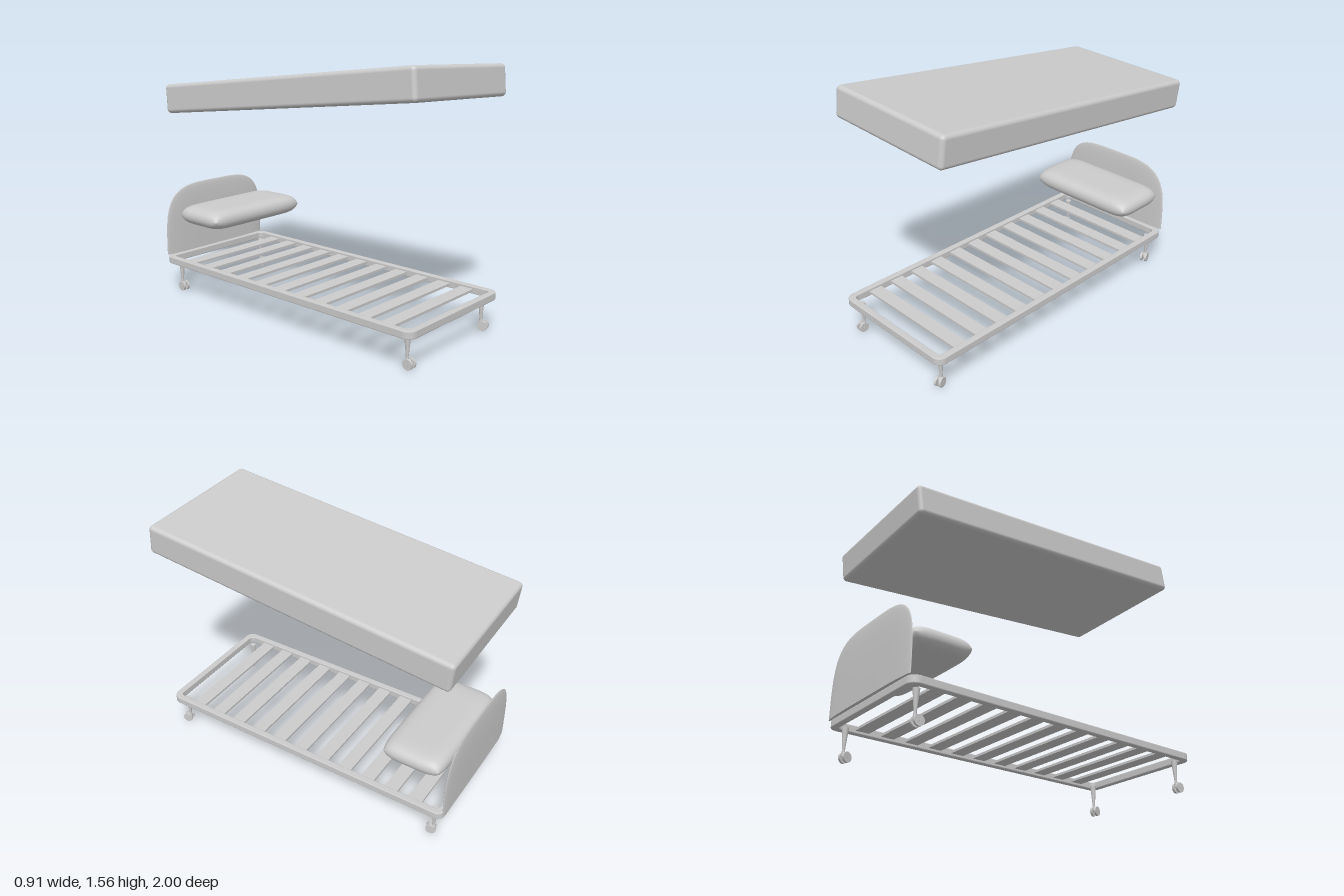
import * as THREE from 'three';
import { mergeGeometries, mergeVertices } from 'three/addons/utils/BufferGeometryUtils.js';
import { RoundedBoxGeometry } from 'three/addons/geometries/RoundedBoxGeometry.js';
import { ParametricGeometry } from 'three/addons/geometries/ParametricGeometry.js';

const grey = new THREE.MeshStandardMaterial({ color: 0xcccccc });
const greyDouble = new THREE.MeshStandardMaterial({ color: 0xcccccc, side: THREE.DoubleSide });
const BED_X = -0.03;

function add(parent, name, geometry, x = 0, y = 0, z = 0, material = grey) {
  const mesh = new THREE.Mesh(geometry, material);
  mesh.name = name;
  mesh.position.set(x, y, z);
  parent.add(mesh);
  return mesh;
}

// Rounded rectangle outline centred on the origin
function roundedRect(path, w, h, r) {
  const x = w / 2, y = h / 2;
  path.absarc(x - r, y - r, r, 0, Math.PI / 2);
  path.absarc(-x + r, y - r, r, Math.PI / 2, Math.PI);
  path.absarc(-x + r, -y + r, r, Math.PI, Math.PI * 1.5);
  path.absarc(x - r, -y + r, r, Math.PI * 1.5, Math.PI * 2);
  path.closePath();
  return path;
}

// Bed frame: bevelled ring with a rounded opening
function frameGeometry() {
  const b = 0.005;
  const shape = roundedRect(new THREE.Shape(), 0.86 - 2 * b, 1.985 - 2 * b, 0.05);
  shape.holes.push(roundedRect(new THREE.Path(), 0.78 + 2 * b, 1.905 + 2 * b, 0.035));
  const g = new THREE.ExtrudeGeometry(shape, {
    depth: 0.045 - 2 * b, bevelSize: b, bevelThickness: b, bevelSegments: 2, curveSegments: 10,
  });
  return g.rotateX(-Math.PI / 2).translate(0, b, 0);
}

// Headboard: superellipse arch with a lens-like thickness
function headboard(parent) {
  const W = 0.418, H = 0.452, T = 0.0165;
  const root = (a) => Math.sign(a) * Math.sqrt(Math.abs(a));
  const shell = new ParametricGeometry((u, v, p) => {
    const a = u * Math.PI, s = Math.sqrt(Math.max(0, Math.sin(v * Math.PI)));
    p.set(W * s * root(Math.cos(a)), H * s * Math.sqrt(Math.max(0, Math.sin(a))), T * Math.cos(v * Math.PI));
  }, 72, 48);
  const outline = [];
  for (let i = 0; i < 48; i++) {
    const a = (i / 48) * Math.PI * 2;
    outline.push(new THREE.Vector2(W * root(Math.cos(a)), T * Math.sin(a)));
  }
  const cap = new THREE.ShapeGeometry(new THREE.Shape(outline)).rotateX(Math.PI / 2);
  const group = new THREE.Group();
  group.name = 'headboard';
  group.position.set(BED_X + 0.002, 0.237, -0.9835);
  add(group, 'headboardPanel', shell, 0, 0, 0, greyDouble);
  add(group, 'headboardBase', cap, 0, 0, 0, greyDouble);
  parent.add(group);
}

// Pillow: two puffed sheets meeting at a rounded rim
function pillowGeometry() {
  const sheets = [1, -1].map((side) => {
    const g = new THREE.PlaneGeometry(2, 2, 48, 40).rotateX(-side * Math.PI / 2);
    const p = g.attributes.position;
    for (let i = 0; i < p.count; i++) {
      const u = Math.sin(p.getX(i) * Math.PI / 2), v = Math.sin(p.getZ(i) * Math.PI / 2);
      const h = Math.sqrt(Math.max(0, (1 - u ** 10) * (1 - v ** 6)));
      p.setXYZ(i, 0.388 * u * (1 - 0.05 * v ** 4), side * 0.0625 * h, 0.192 * v * (1 - 0.1 * u ** 8));
    }
    g.deleteAttribute('uv');
    g.deleteAttribute('normal');
    return g;
  });
  const pillow = mergeVertices(mergeGeometries(sheets), 1e-5);
  pillow.computeVertexNormals();
  return pillow;
}

// Tapered leg on a twin-wheel caster
function leg(parent, name, x, z, yaw) {
  const group = new THREE.Group();
  group.name = name;
  group.position.set(x, 0, z);
  add(group, 'legPost', new THREE.CylinderGeometry(0.019, 0.007, 0.135, 20), 0, 0.1275, 0);
  const caster = new THREE.Group();
  caster.name = 'caster';
  caster.rotation.y = yaw;
  add(caster, 'swivel', new THREE.CylinderGeometry(0.009, 0.009, 0.02, 16), 0, 0.057, 0);
  add(caster, 'housing', new RoundedBoxGeometry(0.018, 0.026, 0.036, 2, 0.004), 0, 0.043, 0.009);
  for (const side of [-1, 1]) {
    const wheel = new THREE.CylinderGeometry(0.03, 0.03, 0.013, 24).rotateZ(Math.PI / 2);
    add(caster, 'wheel', wheel, side * 0.0145, 0.03, 0.014);
  }
  add(caster, 'axle', new THREE.CylinderGeometry(0.006, 0.006, 0.044, 12).rotateZ(Math.PI / 2), 0, 0.03, 0.014);
  group.add(caster);
  parent.add(group);
}

export function createModel() {
  const model = new THREE.Group();
  model.name = 'bed';

  add(model, 'frame', frameGeometry(), BED_X, 0.19, 0.0075);

  // Slats across the frame
  for (let i = -5; i <= 5; i++) {
    add(model, 'slat', new THREE.BoxGeometry(0.79, 0.015, 0.085), BED_X, 0.2135, 0.0075 + i * 0.16);
  }

  for (const side of [-1, 1]) {
    const yaw = side > 0 ? 0.3 : 0;
    leg(model, 'frontLeg', BED_X + side * 0.357, 0.93, yaw);
    leg(model, 'backLeg', BED_X + side * 0.357, -0.912, yaw);
  }

  headboard(model);
  add(model, 'pillow', pillowGeometry(), -0.003, 0.507, -0.75);

  // Mattress floating above, tilted
  const mattress = add(model, 'mattress', new RoundedBoxGeometry(0.865, 0.182, 1.947, 5, 0.025), 0.015, 1.353, -0.009);
  mattress.rotation.set(-0.111, 0, -0.04, 'ZYX');

  return model;
}
